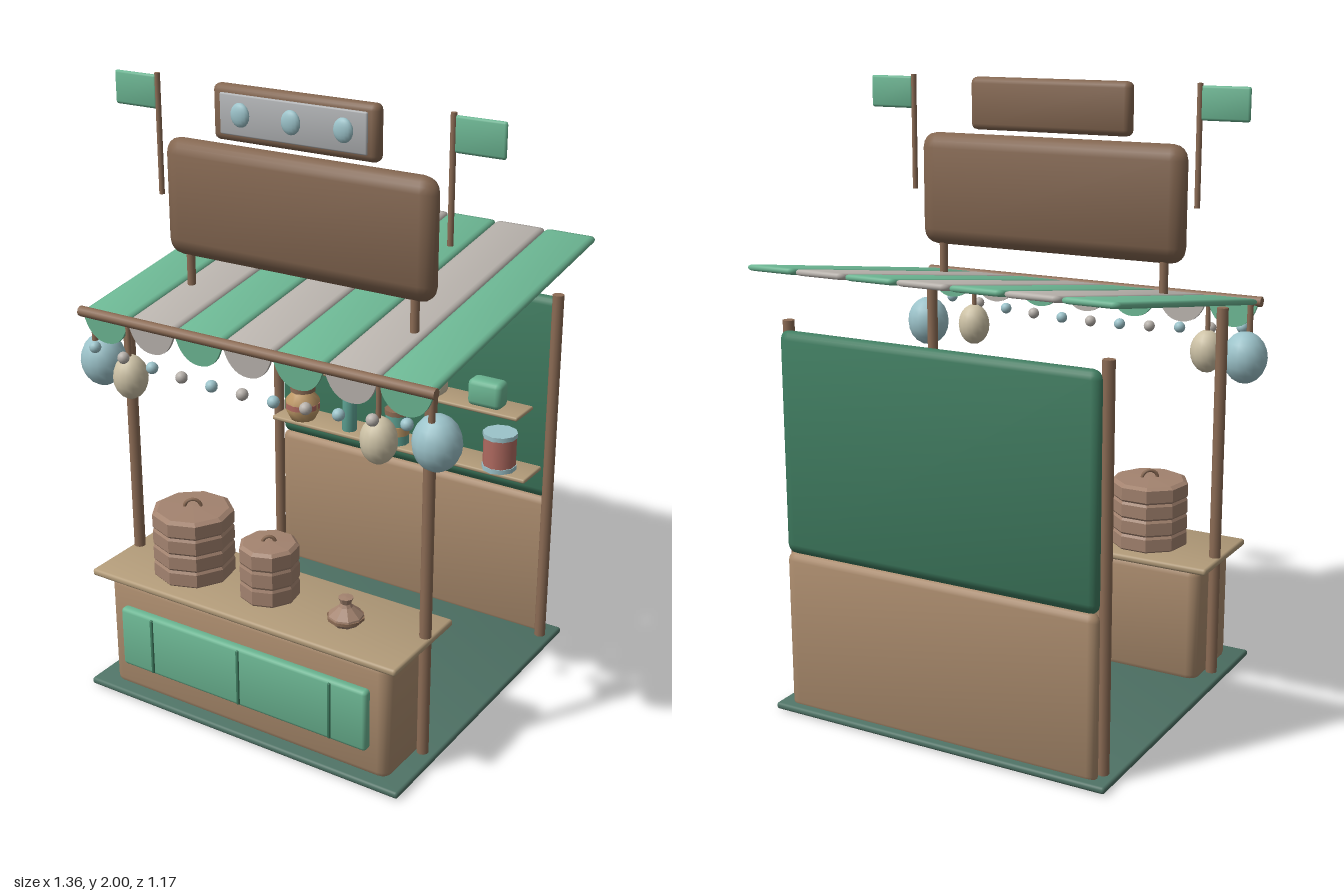
import * as THREE from 'three';
import { RoundedBoxGeometry } from 'three/addons/geometries/RoundedBoxGeometry.js';

const C = {
  green: 0x6bb592, darkGreen: 0x3f7c60, pale: 0xb8b2ac, wood: 0x8c6c55, board: 0x836650,
  counter: 0xa98a6c, top: 0xb39c7a, floor: 0x4f7366, blue: 0x9cc3ca, cream: 0xcdc2a6,
  bamboo: 0xa3836f, red: 0xb06a60, grey: 0xb0b2b4, teal: 0x5fa596, ochre: 0xc09a68,
};

export function createModel() {
  const root = new THREE.Group();

  const add = (name, geo, color, x = 0, y = 0, z = 0, opts = {}) => {
    const mesh = new THREE.Mesh(geo, new THREE.MeshStandardMaterial({ color, ...opts }));
    mesh.name = name;
    mesh.position.set(x, y, z);
    root.add(mesh);
    return mesh;
  };

  // Box with a separate bevel on each axis and softly cushioned normals
  const cushion = (w, h, d, bevel) => {
    const geo = new RoundedBoxGeometry(1, 1, 1, 2, 0.25);
    const p = geo.attributes.position, n = geo.attributes.normal;
    const size = [w, h, d], v = new THREE.Vector3();
    for (let i = 0; i < p.count; i++) {
      const c = [p.getX(i), p.getY(i), p.getZ(i)];
      const q = c.map((a, k) => {
        const b = Math.min(bevel, size[k] * 0.4);
        return Math.sign(a) * (size[k] / 2 - ((0.5 - Math.abs(a)) / 0.25) * b);
      });
      p.setXYZ(i, ...q);
      v.fromBufferAttribute(n, i);
      c.forEach((a, k) => v.setComponent(k, v.getComponent(k) + 0.22 * Math.sign(a)));
      v.normalize();
      n.setXYZ(i, v.x, v.y, v.z);
    }
    return geo;
  };
  // Cushion placed by its bounds: x0, x1, y0, y1, z0, z1
  const slab = (name, color, [x0, x1, y0, y1, z0, z1], bevel = 0.01) =>
    add(name, cushion(x1 - x0, y1 - y0, z1 - z0, bevel), color,
      (x0 + x1) / 2, (y0 + y1) / 2, (z0 + z1) / 2);
  const post = (name, r, x, y0, y1, z, color = C.wood) =>
    add(name, new THREE.CylinderGeometry(r, r, y1 - y0, 10), color, x, (y0 + y1) / 2, z);
  const ball = (name, color, x, y, z, rx, ry = rx, rz = rx) => {
    const m = add(name, new THREE.SphereGeometry(1, 16, 10), color, x, y, z);
    m.scale.set(rx, ry, rz);
    return m;
  };
  const lathe = (name, color, pts, x, y, z, sides = 12, flatShading = false) =>
    add(name, new THREE.LatheGeometry(pts.map(([r, h]) => new THREE.Vector2(r, h)), sides),
      color, x, y, z, { flatShading, side: THREE.DoubleSide });

  // Floor and corner posts
  slab('floor', C.floor, [-0.593, 0.593, 0.003, 0.025, -0.563, 0.583], 0.008);
  for (const s of [-1, 1]) {
    post('frontPost', 0.019, s * 0.55, 0, 1.285, 0.352);
    post('backPost', 0.019, s * 0.55, 0, 1.285, -0.48);
  }

  // Back wall
  slab('upperWall', C.darkGreen, [-0.55, 0.55, 0.54, 1.262, -0.532, -0.505], 0.03);
  slab('lowerWall', C.counter, [-0.55, 0.55, 0.002, 0.545, -0.535, -0.5], 0.03);

  // Counter with its front panel
  slab('counterBody', C.counter, [-0.53, 0.53, 0.002, 0.42, 0.257, 0.537], 0.035);
  slab('counterTop', C.top, [-0.572, 0.572, 0.415, 0.438, 0.218, 0.57], 0.008);
  slab('counterPanel', C.green, [-0.468, 0.468, 0.112, 0.322, 0.525, 0.563], 0.012);
  for (const x of [-0.34, 0, 0.34])
    slab('panelDivider', C.darkGreen, [x - 0.005, x + 0.005, 0.12, 0.315, 0.55, 0.569], 0.003);

  // Awning: sloping stripes, front bar and scalloped edge
  const scallop = new THREE.Shape();
  scallop.moveTo(-0.088, 0);
  scallop.bezierCurveTo(-0.075, -0.05, -0.05, -0.085, 0, -0.085);
  scallop.bezierCurveTo(0.05, -0.085, 0.075, -0.05, 0.088, 0);
  const scallopGeo = new THREE.ExtrudeGeometry(scallop, { depth: 0.01, bevelEnabled: false, curveSegments: 8 });
  for (let i = 0; i < 7; i++) {
    const x = (i - 3) * 0.179, color = i % 2 ? C.pale : C.green;
    add('awningStripe', cushion(0.177, 0.02, 1.072, 0.02), color, x, 1.374, -0.055).rotation.x = 0.16;
    add('awningScallop', scallopGeo, color, x, 1.285, 0.468).rotation.x = 0.05;
  }
  add('awningBar', new THREE.CylinderGeometry(0.017, 0.017, 1.27, 10), C.wood, 0, 1.29, 0.478).rotation.z = Math.PI / 2;

  // String of bulbs and hanging lanterns
  for (let i = -5; i <= 5; i++)
    ball('bulb', i % 2 ? C.blue : C.pale, i * 0.112, 1.158 + 0.0014 * i * i, 0.505, 0.019);
  for (const s of [-1, 1]) {
    ball('largeLantern', C.blue, s * 0.607, 1.115, 0.415, 0.074, 0.086, 0.072);
    post('lanternHanger', 0.01, s * 0.607, 1.19, 1.285, 0.45);
    ball('smallLantern', C.cream, s * 0.45, 1.107, 0.472, 0.056, 0.072, 0.055);
    post('lanternHanger', 0.008, s * 0.45, 1.17, 1.285, 0.475);
  }

  // Sign boards above the awning
  for (const s of [-1, 1]) post('signPost', 0.014, s * 0.407, 1.33, 1.47, 0.203);
  slab('mainSign', C.board, [-0.478, 0.478, 1.44, 1.812, 0.177, 0.232], 0.05);
  slab('upperSign', C.board, [-0.288, 0.288, 1.828, 1.998, 0.182, 0.228], 0.02);
  slab('upperSignFace', C.grey, [-0.257, 0.257, 1.85, 1.975, 0.215, 0.234], 0.005);
  for (const x of [-0.18, 0, 0.18]) ball('signLamp', C.blue, x, 1.915, 0.236, 0.033, 0.037, 0.016);

  // Flags
  for (const s of [-1, 1]) {
    post('flagPole', 0.009, s * 0.515, 1.62, 2, 0.2);
    slab('flag', C.green, [s * 0.6 - 0.08, s * 0.6 + 0.08, 1.888, 1.993, 0.195, 0.204], 0.008);
  }

  // Shelves with stock
  slab('upperShelf', C.top, [-0.468, 0.468, 0.853, 0.867, -0.515, -0.385], 0.005);
  slab('lowerShelf', C.top, [-0.51, 0.51, 0.64, 0.655, -0.515, -0.375], 0.005);
  [[-0.343, C.pale], [-0.115, C.green], [0.11, C.cream], [0.335, C.green]].forEach(([x, color]) =>
    slab('shelfBox', color, [x - 0.062, x + 0.062, 0.868, 0.962, -0.465, -0.395], 0.018));

  const sz = -0.42, sy = 0.655;
  lathe('jar', C.ochre, [[0, 0], [0.045, 0], [0.063, 0.035], [0.063, 0.075], [0.04, 0.102], [0.04, 0.108], [0, 0.108]], -0.405, sy, sz);
  post('jarLid', 0.047, -0.405, 0.763, 0.785, sz);
  post('jarBand', 0.065, -0.405, 0.7, 0.72, sz, C.red);
  lathe('bottle', C.teal, [[0, 0], [0.026, 0], [0.026, 0.17], [0.012, 0.2], [0.012, 0.235], [0, 0.235]], -0.205, sy, sz);
  post('bottleCap', 0.015, -0.205, 0.882, 0.91, sz);
  post('canister', 0.043, -0.008, sy, 0.77, sz, C.teal);
  post('canisterBand', 0.045, -0.008, 0.69, 0.725, sz, C.ochre);
  post('canisterLid', 0.046, -0.008, 0.765, 0.782, sz, C.wood);
  lathe('dish', C.grey, [[0, 0], [0.02, 0], [0.035, 0.018], [0.018, 0.008], [0, 0.008]], 0.195, sy, sz);
  post('tin', 0.057, 0.393, sy, 0.785, sz, C.red);
  for (const y of [0.663, 0.78]) post('tinRim', 0.06, 0.393, y - 0.008, y + 0.008, sz, C.blue);

  // Stacked steamers on the counter
  const steamer = (x, z, r, height, tiers) => {
    const t = height / tiers;
    for (let i = 0; i < tiers; i++) {
      const last = i === tiers - 1;
      lathe(last ? 'steamerLid' : 'steamerTier', C.bamboo,
        [[0, 0], [r * 0.96, 0], [r, t * 0.12], [r, t * 0.85], [r * (last ? 0.88 : 0.96), t], [0, t * (last ? 1.08 : 1)]],
        x, 0.436 + i * t, z, 9, true);
    }
    add('steamerHandle', new THREE.TorusGeometry(r * 0.2, 0.006, 6, 10, Math.PI), C.wood, x, 0.436 + height, z).rotation.y = 0.6;
  };
  steamer(-0.29, 0.39, 0.133, 0.228, 4);
  steamer(0.006, 0.39, 0.096, 0.185, 3);

  // Small lidded pot
  lathe('pot', C.bamboo, [[0, 0], [0.04, 0], [0.058, 0.02], [0.055, 0.032], [0.022, 0.06], [0.016, 0.07], [0.024, 0.09], [0, 0.092]],
    0.305, 0.437, 0.413, 9, true);
  post('potBand', 0.059, 0.305, 0.455, 0.464, 0.413);

  return root;
}
